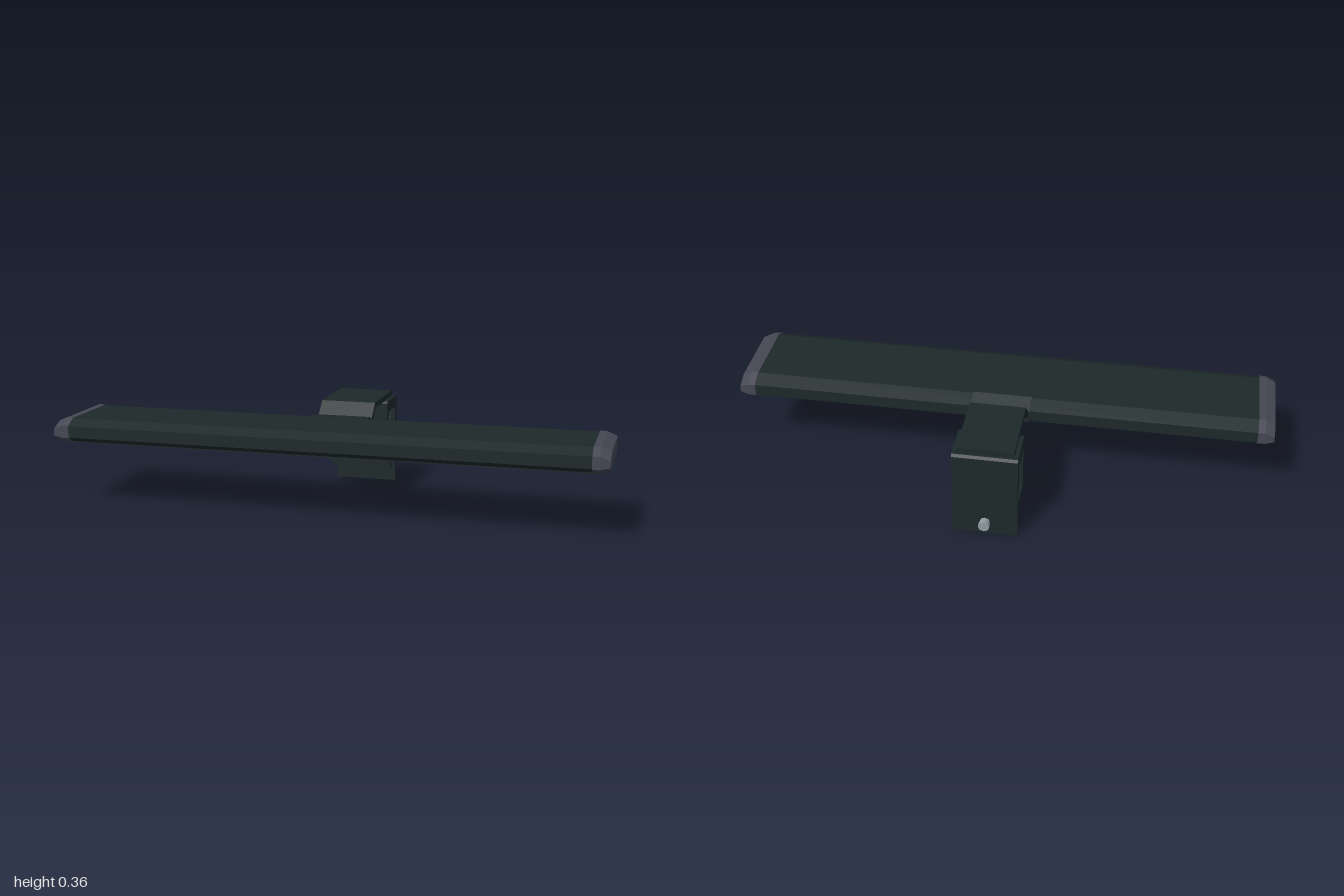
import * as THREE from 'three';

const mat = (name, color) => {
  const m = new THREE.MeshStandardMaterial({ color });
  m.name = name;
  return m;
};

export function createModel() {
  const group = new THREE.Group();
  const dark = mat('dark housing', 0x1d292a);
  const capGrey = mat('end cap grey', 0x454753);
  const panelGrey = mat('light panel grey', 0xbcc1c3);
  const steel = mat('steel', 0x919ea1);

  const add = (name, geometry, material, x = 0, y = 0, z = 0) => {
    const mesh = new THREE.Mesh(geometry, material);
    mesh.name = name;
    mesh.position.set(x, y, z);
    group.add(mesh);
    return mesh;
  };

  // Extrudes a [z, y] outline along x, centred on x = 0
  const profile = (points, width, hole) => {
    const toV = (list) => list.map(([z, y]) => new THREE.Vector2(z, y));
    const shape = new THREE.Shape(toV(points));
    if (hole) shape.holes.push(new THREE.Path(toV(hole)));
    const g = new THREE.ExtrudeGeometry(shape, { depth: width, bevelEnabled: false });
    return g.translate(0, 0, -width / 2).rotateY(-Math.PI / 2);
  };

  // Flat-faced loft through octagonal [z, y] sections placed along x, closed at both ends
  const loft = (sections) => {
    const pos = [];
    const v = (s, i) => {
      const [z, y] = s.points[i % s.points.length];
      return [s.x, y, z];
    };
    const n = sections[0].points.length;
    for (let k = 0; k < sections.length - 1; k++) {
      const a = sections[k], b = sections[k + 1];
      for (let i = 0; i < n; i++) {
        pos.push(...v(a, i), ...v(b, i + 1), ...v(b, i));
        pos.push(...v(a, i), ...v(a, i + 1), ...v(b, i + 1));
      }
    }
    const first = sections[0], last = sections[sections.length - 1];
    for (let i = 1; i < n - 1; i++) {
      pos.push(...v(first, 0), ...v(first, i + 1), ...v(first, i));
      pos.push(...v(last, 0), ...v(last, i), ...v(last, i + 1));
    }
    const g = new THREE.BufferGeometry();
    g.setAttribute('position', new THREE.Float32BufferAttribute(pos, 3));
    g.computeVertexNormals();
    return g;
  };

  // Octagonal bar section, from the front edge under the bar to the back and over the top
  const outer = [
    [0.375, 0.3], [0.375, 0.255], [0.345, 0.235], [0.032, 0.235],
    [0.005, 0.255], [0.005, 0.3], [0.06, 0.323], [0.33, 0.323],
  ];
  const inner = [
    [0.37, 0.285], [0.37, 0.262], [0.341, 0.248], [0.036, 0.248],
    [0.01, 0.262], [0.01, 0.285], [0.062, 0.308], [0.32, 0.308],
  ];
  const barSection = outer.map(([z, y]) => [0.19 + (z - 0.19) * 0.985, 0.279 + (y - 0.279) * 0.94]);

  // Lamp bar
  add('lampBar', loft([{ x: -0.95, points: barSection }, { x: 0.95, points: barSection }]), dark);

  // End caps with chamfered tips
  add('endCapLeft', loft([
    { x: 0.94, points: outer }, { x: 0.965, points: outer }, { x: 1, points: inner },
  ]), capGrey);
  add('endCapRight', loft([
    { x: -1, points: inner }, { x: -0.965, points: outer }, { x: -0.94, points: outer },
  ]), capGrey);

  // Five light panels under the bar, with a rim along each long edge
  for (let i = -2; i <= 2; i++) {
    add('lightPanel', new THREE.BoxGeometry(0.348, 0.006, 0.27), panelGrey, i * 0.374, 0.2375, 0.19);
  }
  for (const z of [0.043, 0.335]) {
    add('panelRim', new THREE.BoxGeometry(1.88, 0.008, 0.018), dark, 0, 0.239, z);
  }

  // Clip gripping the back edge of the bar
  add('barClip', profile([
    [0.075, 0.328], [0.058, 0.328], [0.002, 0.301], [0.002, 0.252],
    [0.043, 0.23], [0.06, 0.23], [0.06, 0.25], [0.075, 0.31],
  ], 0.22), dark);

  // Bent arm
  add('arm', profile([
    [0.008, 0.3], [-0.055, 0.36], [-0.327, 0.36], [-0.327, 0.339],
    [-0.064, 0.339], [0.008, 0.268],
  ], 0.205), dark);

  // Clamp body: solid core between two side frames with a window each
  const outline = [
    [-0.188, 0.1], [-0.188, 0.332], [-0.196, 0.34], [-0.337, 0.34],
    [-0.346, 0.332], [-0.346, 0], [-0.325, 0], [-0.325, 0.1],
  ];
  const window = [[-0.215, 0.14], [-0.32, 0.14], [-0.32, 0.298], [-0.215, 0.298]];
  add('clampCore', profile(outline, 0.136), dark);
  for (const s of [-1, 1]) {
    add('clampSideFrame', profile(outline, 0.05, window), dark, s * 0.093);
  }

  // Springs inside the windows
  const ripple = [];
  for (let i = 0; i <= 32; i++) {
    const t = i / 32;
    ripple.push(new THREE.Vector2(0.013 + 0.003 * Math.cos(t * Math.PI * 8 - 0.9), 0.14 + t * 0.158));
  }
  for (const s of [-1, 1]) {
    add('spring', new THREE.LatheGeometry(ripple, 10), steel, s * 0.092, 0, -0.267);
  }

  // Stop tab under the clamp body
  add('stopTab', new THREE.BoxGeometry(0.23, 0.04, 0.02), dark, 0, 0.085, -0.265);

  // Screw through the back plate
  add('screwCollar', new THREE.CylinderGeometry(0.019, 0.019, 0.016, 8).rotateX(Math.PI / 2), steel, 0, 0.051, -0.352);
  add('screwHead', new THREE.CylinderGeometry(0.021, 0.021, 0.017, 8).rotateX(Math.PI / 2), steel, 0, 0.051, -0.3665);

  return group;
}
